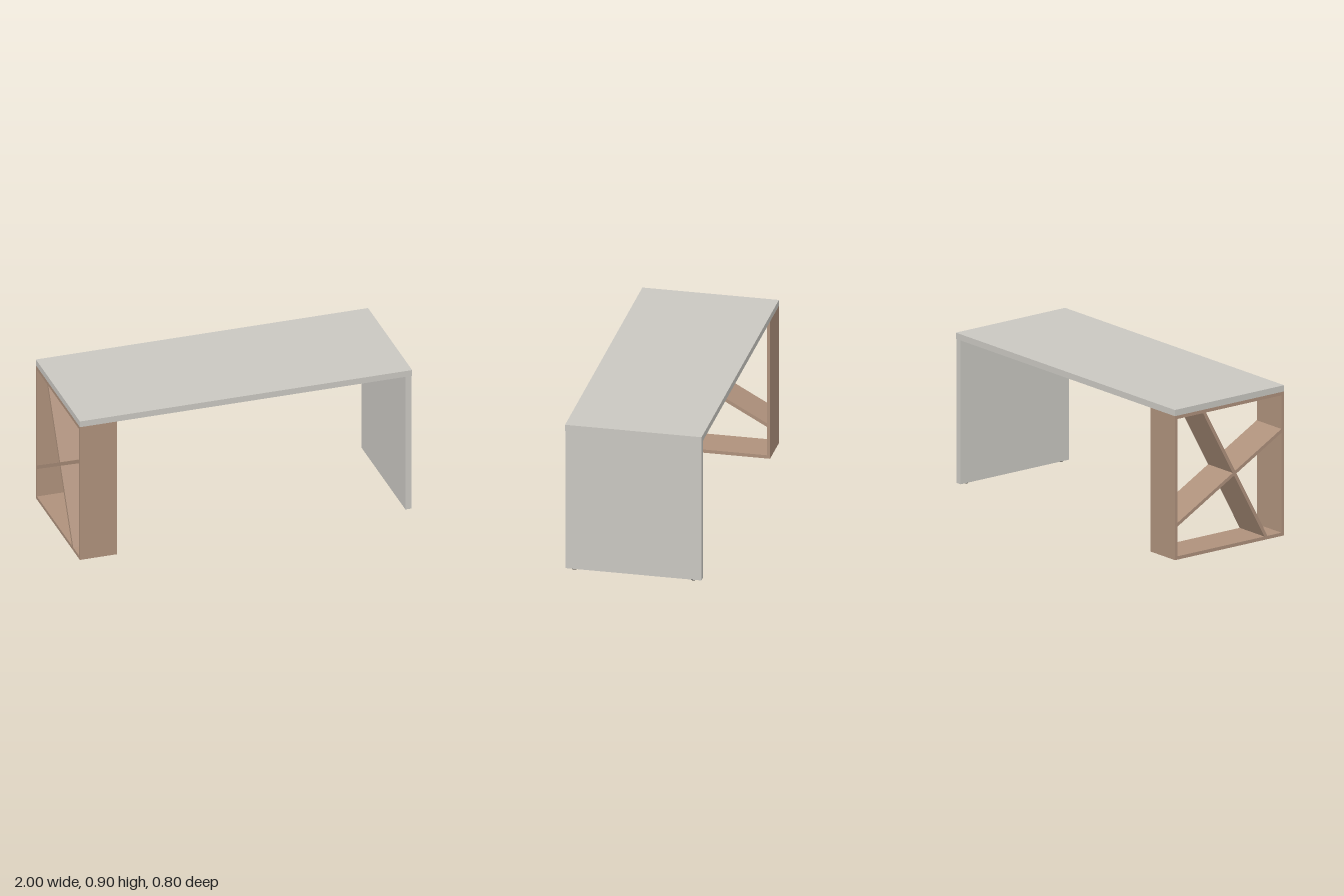
import * as THREE from 'three';

export function createModel() {
  const desk = new THREE.Group();
  desk.name = 'desk';
  const grey = new THREE.MeshStandardMaterial({ name: 'light grey laminate', color: 0xc9c7c1 });
  const wood = new THREE.MeshStandardMaterial({ name: 'brown wood', color: 0xae917c });
  const dark = new THREE.MeshStandardMaterial({ name: 'dark feet', color: 0x45423e });

  const FOOT = 0.005, UNDER = 0.863, TOP = 0.9;
  const IN = -0.775, DEPTH = 0.225, T = 0.02, HALF = 0.4;

  const add = (name, geometry, material, x, y, z) => {
    const mesh = new THREE.Mesh(geometry, material);
    mesh.name = name;
    mesh.position.set(x, y, z);
    desk.add(mesh);
  };

  // Extrudes a side profile, given as [z, y] points, across the shelf unit's width
  const toShape = (pts) => new THREE.Shape(pts.map(([z, y]) => new THREE.Vector2(z, y)));
  const addProfile = (name, shape) => {
    const geo = new THREE.ExtrudeGeometry(shape, { depth: DEPTH, bevelEnabled: false });
    geo.rotateY(-Math.PI / 2);
    add(name, geo, wood, IN, 0, 0);
  };
  const rect = (z, y0, y1) => [[-z, y0], [z, y0], [z, y1], [-z, y1]];

  // Table top and solid side panel
  add('tableTop', new THREE.BoxGeometry(2, TOP - UNDER, 0.8), grey, 0, (TOP + UNDER) / 2, 0);
  add('sidePanel', new THREE.BoxGeometry(0.038, UNDER - FOOT, 0.796), grey, 0.979, (UNDER + FOOT) / 2, 0);

  // Open shelf frame
  const low = FOOT + T, high = UNDER - T, side = HALF - T;
  const frame = toShape(rect(HALF - 0.001, FOOT, UNDER));
  frame.holes.push(toShape(rect(side, low, high)));
  addProfile('shelfFrame', frame);

  // Tilted cross inside the frame: one long divider and two shelves square to it
  const cz = 0.037, cy = 0.443, slope = 0.55;
  const angle = Math.atan(slope), c = Math.cos(angle), s = Math.sin(angle);
  const h = T / 2 / c;
  const zAt = (y) => cz - (y - cy) * slope;
  addProfile('longDivider', toShape([
    [zAt(low) - h, low], [zAt(low) + h, low],
    [zAt(high) + h, high], [zAt(high) - h, high],
  ]));
  for (const [name, dir] of [['rearShelf', -1], ['frontShelf', 1]]) {
    const yEnd = cy + (dir * side - cz) * slope;
    const z0 = cz + dir * c * T / 2, y0 = cy + dir * s * T / 2;
    const n = [-s * T / 2, c * T / 2];
    addProfile(name, toShape([
      [z0 - n[0], y0 - n[1]], [dir * side, yEnd - h],
      [dir * side, yEnd + h], [z0 + n[0], y0 + n[1]],
    ]));
  }

  // Low round feet
  for (const z of [-0.348, 0.348]) {
    for (const [x, r] of [[-0.965, 0.018], [-0.805, 0.018], [0.98, 0.016]]) {
      add('foot', new THREE.CylinderGeometry(r, r, FOOT, 24), dark, x, FOOT / 2, z);
    }
  }
  return desk;
}
